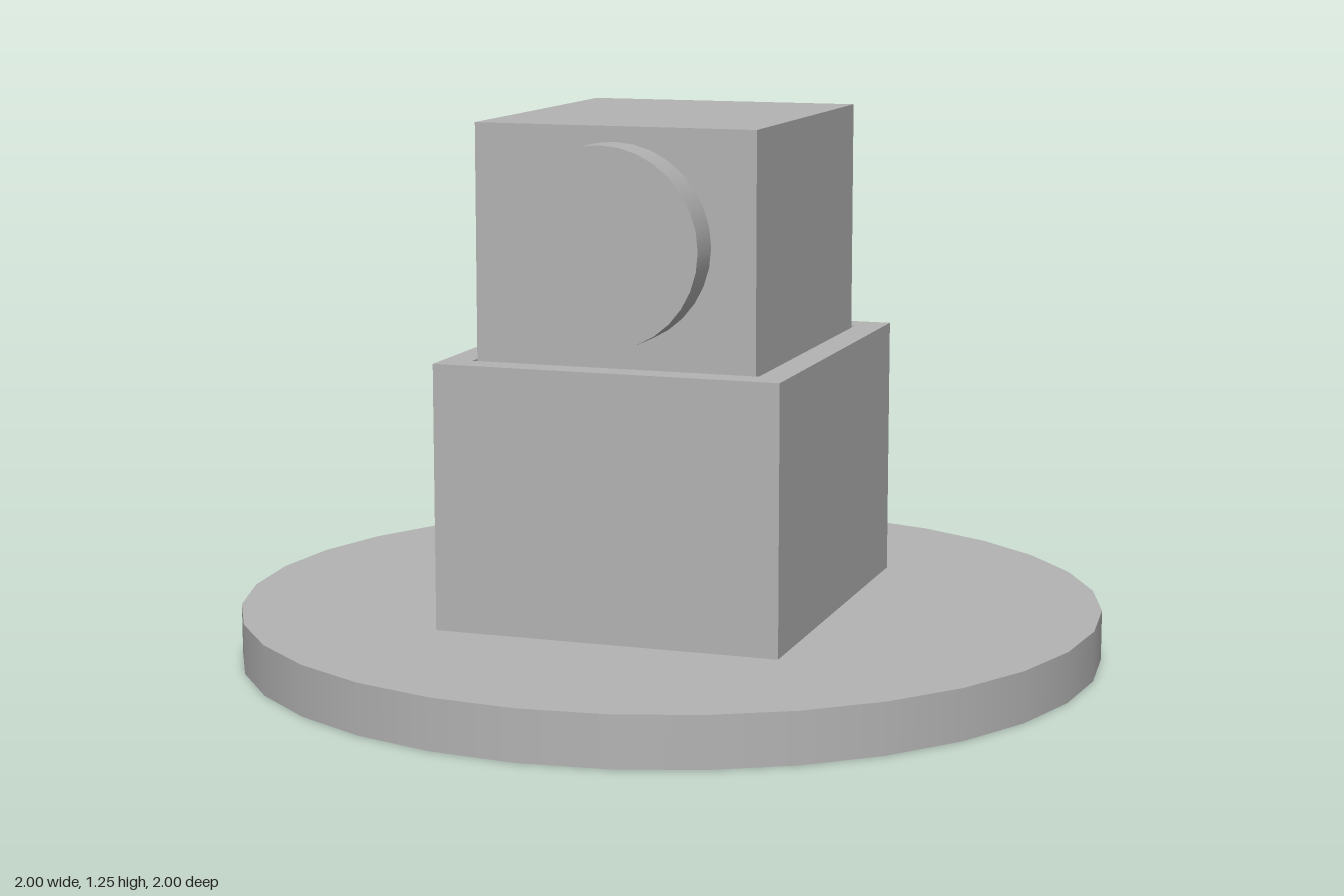
import * as THREE from 'three';

export function createModel() {
  const model = new THREE.Group();
  const grey = new THREE.MeshStandardMaterial({ color: 0xb3b3b3 });
  grey.name = 'plain grey';

  const add = (name, geometry, x, y, z) => {
    const mesh = new THREE.Mesh(geometry, grey);
    mesh.name = name;
    mesh.position.set(x, y, z);
    model.add(mesh);
    return mesh;
  };

  // Closed rectangle, as an outline or a hole
  const rectangle = (Type, hx, hz) => new Type([
    new THREE.Vector2(-hx, -hz), new THREE.Vector2(hx, -hz),
    new THREE.Vector2(hx, hz), new THREE.Vector2(-hx, hz),
  ]);

  // Round base plate
  add('basePlate', new THREE.CylinderGeometry(1, 1, 0.115, 32), 0, 0.0575, 0);

  // Lower block with a narrow clearance around the upper block
  const outline = rectangle(THREE.Shape, 0.4, 0.462);
  outline.holes.push(rectangle(THREE.Path, 0.333, 0.394));
  const lower = new THREE.ExtrudeGeometry(outline, { depth: 0.605, bevelEnabled: false });
  lower.rotateX(-Math.PI / 2);
  add('lowerBlock', lower, 0, 0.115, 0);

  // Upper block, seated inside the lower one
  add('upperBlock', new THREE.BoxGeometry(0.648, 1.135, 0.776), 0, 0.6825, 0);

  // Round bosses on the front and back; the back one stands out further
  const addBoss = (name, z0, z1) => {
    const geometry = new THREE.CylinderGeometry(0.222, 0.222, z1 - z0, 32);
    geometry.rotateX(Math.PI / 2);
    add(name, geometry, 0, 0.994, (z0 + z1) / 2);
  };
  addBoss('frontBoss', 0.38, 0.48);
  addBoss('backBoss', -0.532, -0.38);

  return model;
}
